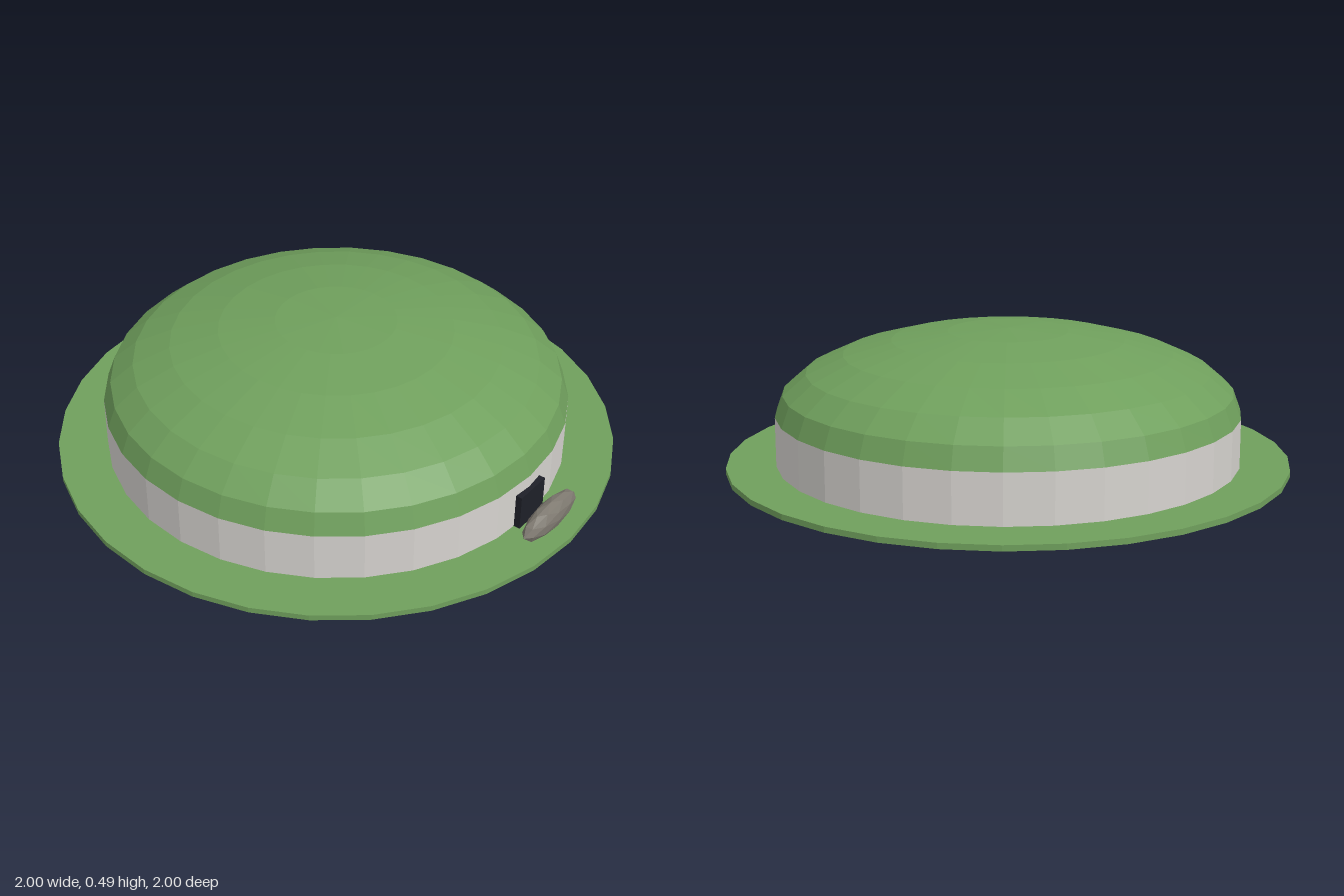
import * as THREE from 'three';

const material = (name, color) => {
  const m = new THREE.MeshStandardMaterial({ color });
  m.name = name;
  return m;
};

// Unindexed geometry with one normal per face, for the low-poly look
const faceted = (geometry) => {
  const g = geometry.index ? geometry.toNonIndexed() : geometry;
  g.computeVertexNormals();
  return g;
};

export function createModel() {
  const model = new THREE.Group();
  const green = material('grass green', 0x6f9f5c);
  const pale = material('pale stone', 0xd6d3cf);
  const dark = material('dark doorway', 0x1e2028);
  const grey = material('rock grey', 0x7d786f);

  const add = (name, geometry, mat, x, y, z) => {
    const mesh = new THREE.Mesh(faceted(geometry), mat);
    mesh.name = name;
    mesh.position.set(x, y, z);
    model.add(mesh);
    return mesh;
  };

  const R = 0.825, wallTop = 0.195, domeHeight = 0.292;

  // Grass disc
  add('ground', new THREE.CylinderGeometry(1, 1, 0.02, 32), green, 0, 0.01, 0);

  // Round stone kerb
  add('wall', new THREE.CylinderGeometry(R, R, wallTop - 0.02, 32), pale, 0, (wallTop + 0.02) / 2, 0);

  // Flattened turf dome in six rings
  const dome = new THREE.SphereGeometry(R, 32, 6, 0, Math.PI * 2, 0, Math.PI / 2);
  dome.scale(1, domeHeight / R, 1);
  add('dome', dome, green, 0, wallTop, 0);

  // Doorway slab on the front
  add('doorway', new THREE.BoxGeometry(0.14, 0.13, 0.024), dark, 0, 0.085, 0.829);

  // Entrance stone lying before the doorway
  const stone = new THREE.IcosahedronGeometry(1, 1);
  stone.scale(0.155, 0.054, 0.041);
  add('entranceStone', stone, grey, 0, 0.07, 0.91);

  return model;
}
